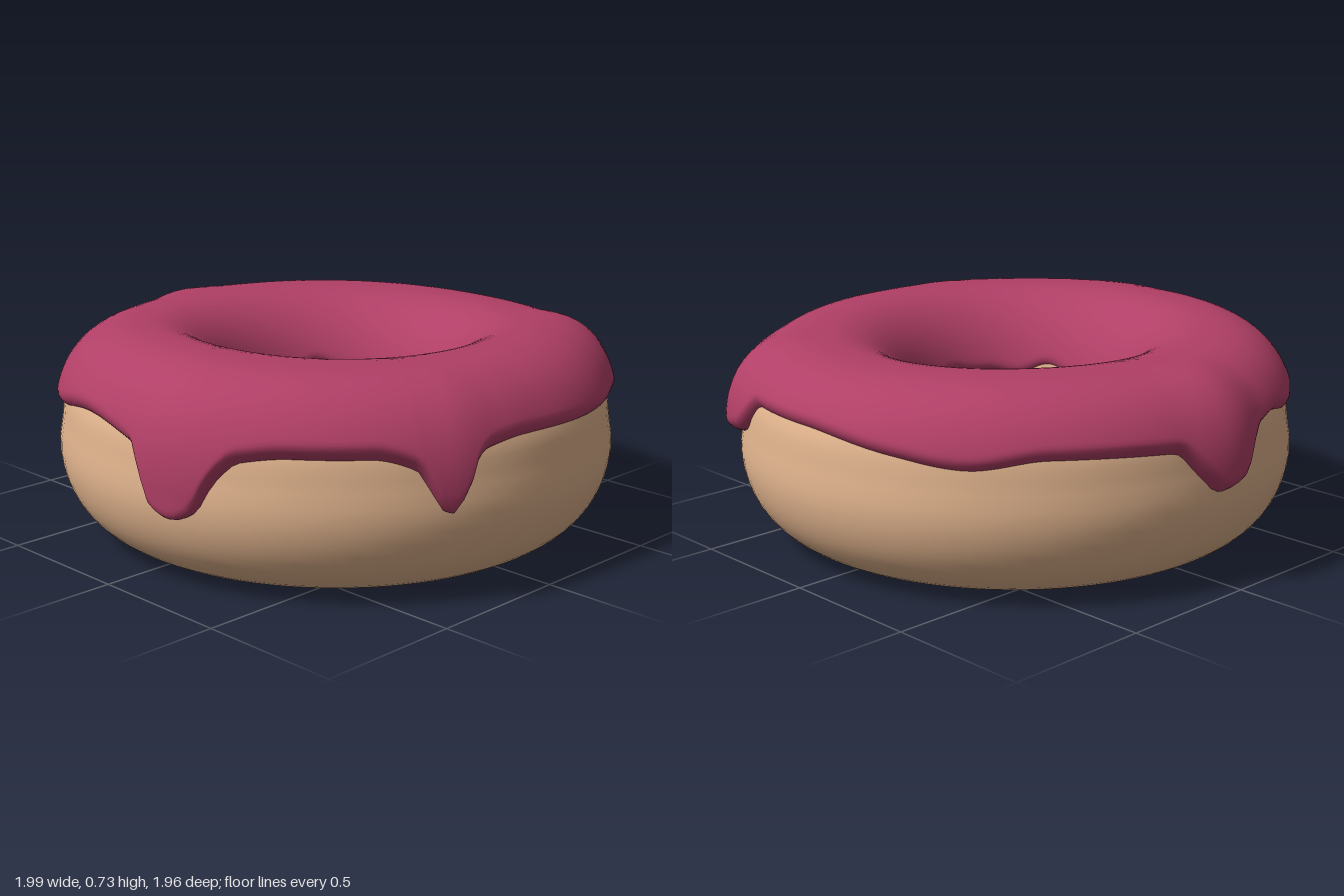
import * as THREE from 'three';

const CX = 0.025, CZ = -0.01;        // centre of the ring
const RING = 0.66, HALF_W = 0.305, MID = 0.34, HALF_H = 0.34, POWER = 2.2;

// [degrees from +x towards +z, height of the icing's outer edge]
const EDGE = [
  [-11.5, 0.5], [6.5, 0.51], [15, 0.495], [19, 0.46], [22, 0.355], [24.5, 0.31], [27, 0.365], [30.5, 0.455], [39, 0.49],
  [53, 0.49], [63, 0.47], [68, 0.4], [71.5, 0.3], [76.5, 0.265], [80.7, 0.29], [83.5, 0.4],
  [86.5, 0.47], [103, 0.51], [127, 0.46], [140, 0.49], [150, 0.48], [160, 0.505], [168, 0.49], [174, 0.44],
  [179, 0.345], [183, 0.33], [187, 0.39], [193, 0.48], [218, 0.495], [233, 0.465], [248, 0.49],
  [270, 0.525], [288, 0.52], [296, 0.41], [304, 0.38], [314, 0.45], [322, 0.475],
];
// [degrees, outer radius of the icing]
const OUTLINE = [
  [-17, 0.97], [0, 0.97], [12, 0.985], [24, 1.01], [41, 1.01], [58, 1.01], [71, 1.01], [80, 1.003], [91, 0.98],
  [107, 0.98], [127, 0.978], [148, 0.975], [167, 0.98], [181, 1.023], [193, 0.998], [214, 0.987],
  [234, 0.983], [251, 0.98], [269, 0.977], [290, 0.98], [303, 1.013], [312, 0.995], [328, 0.968],
];

// Smooth periodic curve through a table
function sample(table, deg) {
  const n = table.length;
  const at = (i) => {
    const turns = Math.floor(i / n), p = table[i - turns * n];
    return [p[0] + 360 * turns, p[1]];
  };
  const first = table[0][0];
  const x = first + THREE.MathUtils.euclideanModulo(deg - first, 360);
  let i = 0;
  while (i < n - 1 && at(i + 1)[0] <= x) i++;
  const [a, b, c, d] = [at(i - 1), at(i), at(i + 1), at(i + 2)];
  const h = c[0] - b[0], u = (x - b[0]) / h;
  const slope = (p, q, r) => {
    const s = (q[1] - p[1]) / (q[0] - p[0]), t = (r[1] - q[1]) / (r[0] - q[0]);
    return s * t <= 0 ? 0 : (2 * s * t) / (s + t);
  };
  const m0 = slope(a, b, c) * h, m1 = slope(b, c, d) * h, u2 = u * u, u3 = u2 * u;
  return (2 * u3 - 3 * u2 + 1) * b[1] + (u3 - 2 * u2 + u) * m0 + (3 * u2 - 2 * u3) * c[1] + (u3 - u2) * m1;
}

const signedPow = (v, p) => Math.sign(v) * Math.abs(v) ** p;

// Rounded cross-section: angle t gives [radius, height]
const section = (t) => [
  RING + HALF_W * signedPow(Math.cos(t), 2 / POWER),
  MID + HALF_H * signedPow(Math.sin(t), 2 / POWER),
];
const angleAtHeight = (y) => Math.asin(signedPow((y - MID) / HALF_H, POWER / 2));

// Sweeps cross-sections around the ring; point(a, v) returns [radius, height]
function sweep(around, along, point) {
  const pos = [], index = [];
  for (let i = 0; i < around; i++) {
    const a = (i / around) * Math.PI * 2;
    for (let j = 0; j <= along; j++) {
      const [r, y] = point(a, j / along);
      pos.push(CX + r * Math.cos(a), y, CZ + r * Math.sin(a));
    }
  }
  const row = along + 1;
  for (let i = 0; i < around; i++) {
    for (let j = 0; j < along; j++) {
      const p = i * row + j, q = ((i + 1) % around) * row + j;
      index.push(p, p + 1, q + 1, p, q + 1, q);
    }
  }
  const g = new THREE.BufferGeometry();
  g.setAttribute('position', new THREE.Float32BufferAttribute(pos, 3));
  g.setIndex(index);
  g.computeVertexNormals();
  return g;
}

// Dough: full ring with a shallow waist on the outside; the seam is hidden under the icing
function doughPoint(a, v) {
  const t = Math.PI / 2 + v * Math.PI * 2;
  const [r, y] = section(t);
  const waist = Math.cos(t) > 0 ? 0.01 * Math.exp(-(((y - 0.41) / 0.06) ** 2)) : 0;
  return [r - waist + 0.006 * Math.sin(a) ** 2 * Math.max(0, Math.cos(t)), y];
}

// Icing: a thick shell over the top with a rounded lip and drips
function icingPoint(a, v) {
  const deg = THREE.MathUtils.radToDeg(a);
  const innerEdge = 0.45 + 0.012 * Math.sin(7 * a) + 0.008 * Math.sin(12 * a + 1);
  const start = angleAtHeight(sample(EDGE, deg));
  const end = Math.PI - angleAtHeight(innerEdge);
  const t = start + (end - start) * (1 - Math.cos(v * Math.PI)) / 2;
  const c = Math.cos(t), s = Math.sin(t);
  const outer = sample(OUTLINE, deg) - 0.965 + 0.045 * Math.max(0, s);
  const side = c > 0 ? outer : 0.014;
  const thick = THREE.MathUtils.lerp(0.03, side, THREE.MathUtils.smoothstep(Math.abs(c), 0, 1));
  const toEdge = THREE.MathUtils.clamp((Math.min(t - start, end - t) * 0.33) / 0.035, 0, 1);
  const offset = (thick + 0.014) * Math.sqrt(1 - (1 - toEdge) ** 2) - 0.014;
  const wave = 0.004 + 0.016 * Math.sin(a) + 0.007 * Math.cos(a) + 0.005 * Math.sin(3 * a + 2.5);
  const [r, y] = section(t);
  return [r + offset * c, y + offset * s + wave * Math.max(0, s) ** 2];
}

export function createModel() {
  const model = new THREE.Group();
  model.name = 'donut';
  const doughMaterial = new THREE.MeshStandardMaterial({ color: 0xdfb28c });
  doughMaterial.name = 'golden dough';
  const icingMaterial = new THREE.MeshStandardMaterial({ color: 0xb03f66 });
  icingMaterial.name = 'pink icing';

  const dough = new THREE.Mesh(sweep(96, 56, doughPoint), doughMaterial);
  dough.name = 'dough';
  const icing = new THREE.Mesh(sweep(240, 48, icingPoint), icingMaterial);
  icing.name = 'icing';
  model.add(dough, icing);
  return model;
}
